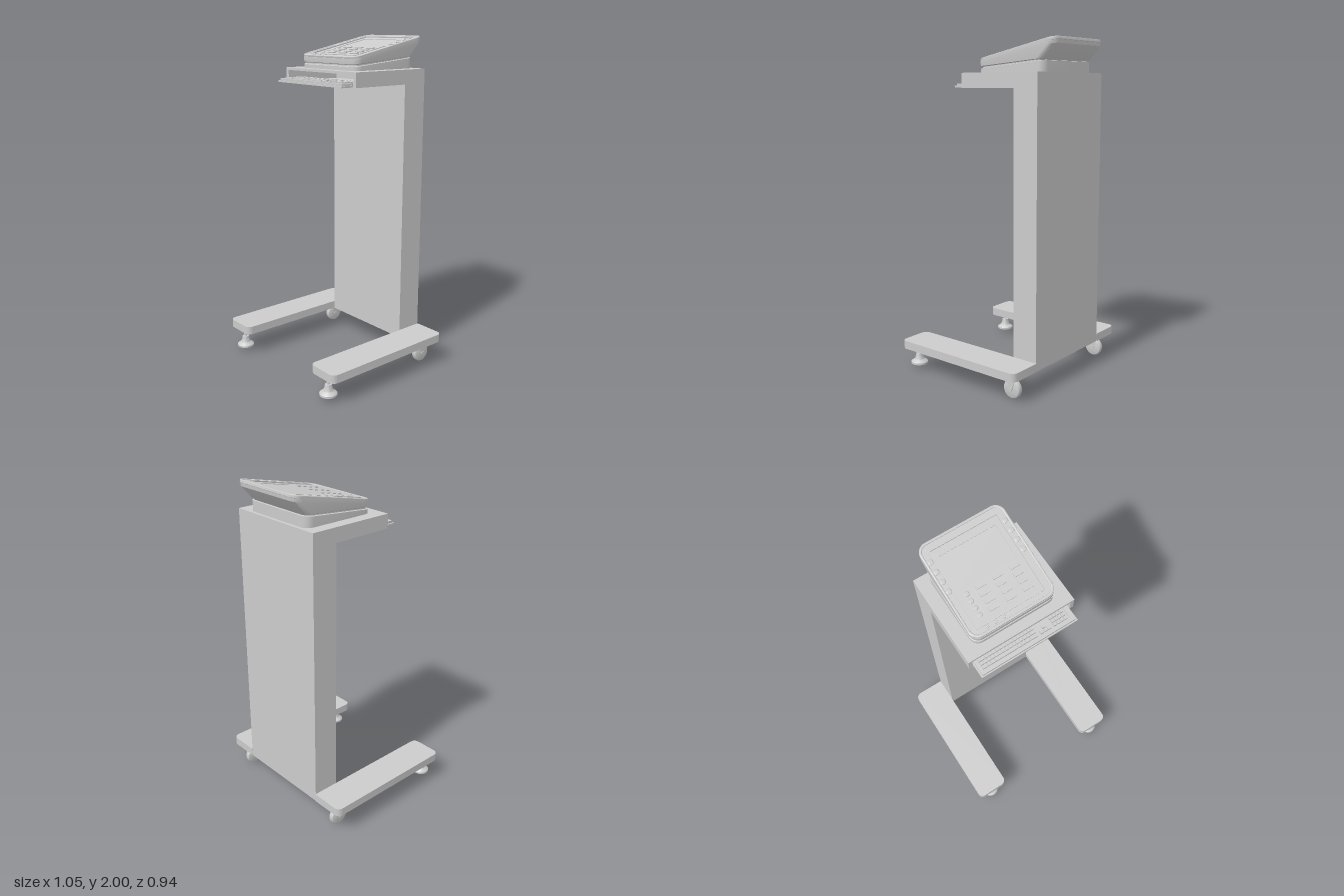
import * as THREE from 'three';
import { mergeGeometries, toCreasedNormals } from 'three/addons/utils/BufferGeometryUtils.js';

const material = new THREE.MeshStandardMaterial({ color: 0xcccccc });

function add(parent, name, geometry, x = 0, y = 0, z = 0) {
  const mesh = new THREE.Mesh(geometry, material);
  mesh.name = name;
  mesh.position.set(x, y, z);
  parent.add(mesh);
  return mesh;
}

// Box given by its limits
function block(parent, name, x0, x1, y0, y1, z0, z1) {
  return add(parent, name, new THREE.BoxGeometry(x1 - x0, y1 - y0, z1 - z0),
    (x0 + x1) / 2, (y0 + y1) / 2, (z0 + z1) / 2);
}

// Outline of a rectangle whose four corners each have their own radius
function roundRect(x0, x1, y0, y1, radii, Type = THREE.Shape) {
  const [a, b, c, d] = radii;
  const s = new Type();
  s.moveTo(x0 + a, y0);
  s.lineTo(x1 - b, y0);
  if (b) s.absarc(x1 - b, y0 + b, b, -Math.PI / 2, 0);
  s.lineTo(x1, y1 - c);
  if (c) s.absarc(x1 - c, y1 - c, c, 0, Math.PI / 2);
  s.lineTo(x0 + d, y1);
  if (d) s.absarc(x0 + d, y1 - d, d, Math.PI / 2, Math.PI);
  s.lineTo(x0, y0 + a);
  if (a) s.absarc(x0 + a, y0 + a, a, Math.PI, Math.PI * 1.5);
  return s;
}

// Extrude an outline (shape y = -z) upwards
function plate(shape, depth, bevel = 0) {
  const g = new THREE.ExtrudeGeometry(shape, {
    depth: depth - bevel, curveSegments: 8, bevelEnabled: bevel > 0,
    bevelSize: bevel, bevelThickness: bevel, bevelOffset: -bevel, bevelSegments: 2
  });
  return toCreasedNormals(g.rotateX(-Math.PI / 2), 0.6);
}

// Skin over sloped rounded-rectangle rings: [halfWidth, zBack, zFront, yBack, yFront, radius]
function loft(rings) {
  const pos = [], idx = [];
  const n = 28;
  for (const [hx, zb, zf, yb, yf, r] of rings) {
    for (let i = 0; i < n; i++) {
      const corner = Math.floor(i / 7), a = (corner + (i % 7) / 6) * Math.PI / 2;
      const x = (corner === 0 || corner === 3 ? 1 : -1) * (hx - r) + r * Math.cos(a);
      const z = (corner < 2 ? zf - r : zb + r) + r * Math.sin(a);
      pos.push(x, yb + (yf - yb) * (z - zb) / (zf - zb), z);
    }
  }
  for (let k = 0; k < rings.length - 1; k++)
    for (let i = 0; i < n; i++) {
      const a = k * n + i, b = k * n + (i + 1) % n;
      idx.push(a, a + n, b, b, a + n, b + n);
    }
  const top = (rings.length - 1) * n;
  for (let i = 1; i < n - 1; i++) idx.push(0, i, i + 1, top, top + i + 1, top + i);
  const g = new THREE.BufferGeometry();
  g.setAttribute('position', new THREE.Float32BufferAttribute(pos, 3));
  g.setIndex(idx);
  return toCreasedNormals(g, 0.5);
}

function lathe(points) {
  const g = new THREE.LatheGeometry(points.map(p => new THREE.Vector2(...p)), 28);
  return toCreasedNormals(g, 0.5);
}

// Swivel caster: wheel, hub, fork plates and stem
function caster() {
  const g = new THREE.Group();
  g.name = 'caster';
  const wheel = lathe([[0, -0.018], [0.045, -0.018], [0.054, -0.014], [0.058, -0.006],
    [0.058, 0.006], [0.054, 0.014], [0.045, 0.018], [0, 0.018]]).rotateZ(Math.PI / 2);
  add(g, 'wheel', wheel, 0, 0.058, 0);
  add(g, 'axle', new THREE.CylinderGeometry(0.01, 0.01, 0.054, 16).rotateZ(Math.PI / 2), 0, 0.058, 0);
  const fork = new THREE.Shape([[-0.032, 0.122], [-0.008, 0.05], [0.008, 0.05], [0.032, 0.122]]
    .map(p => new THREE.Vector2(...p)));
  for (const s of [-1, 1])
    add(g, 'forkPlate', new THREE.ExtrudeGeometry(fork, { depth: 0.004, bevelEnabled: false })
      .rotateY(Math.PI / 2), s * 0.022 - 0.002, 0, 0);
  block(g, 'forkBridge', -0.024, 0.024, 0.118, 0.124, -0.032, 0.032);
  add(g, 'stem', new THREE.CylinderGeometry(0.014, 0.014, 0.02, 16), 0, 0.133, 0);
  return g;
}

// Keyboard on a pull-out tray
function keyboard() {
  const g = new THREE.Group();
  g.name = 'keyboardDrawer';
  block(g, 'tray', -0.293, 0.293, 1.727, 1.737, -0.02, 0.21);
  const rim = roundRect(-0.285, 0.285, -0.203, -0.02, [0.006, 0.006, 0.006, 0.006]);
  rim.holes.push(roundRect(-0.27, 0.262, -0.185, -0.035, [0, 0, 0, 0], THREE.Path));
  add(g, 'keyboardRim', plate(rim, 0.013), 0, 1.737, 0);
  block(g, 'keyboardBed', -0.271, 0.263, 1.737, 1.742, 0.03, 0.19);
  const keys = [];
  const key = (x0, x1, z) => keys.push(new THREE.BoxGeometry(x1 - x0 - 0.004, 0.014, 0.018)
    .translate((x0 + x1) / 2, 1.747, z));
  const rows = [0.168, 0.146, 0.124, 0.102, 0.08, 0.056];
  rows.forEach((z, r) => {
    if (r === 0) {
      [-0.266, -0.236, -0.214, -0.19, -0.054, -0.03, -0.006, 0.024, 0.07]
        .forEach((x, i, a) => i && key(a[i - 1], x, z));
    } else {
      const first = -0.266 + 0.022 + 0.006 * ((5 - r) % 4);
      key(-0.266, first, z);
      for (let i = 0; i < 13; i++) key(first + i * 0.0215, first + (i + 1) * 0.0215, z);
      key(first + 13 * 0.0215, 0.07, z);
    }
    for (let i = 0; i < 3; i++)
      if (r === 0 || r > 2 || (r === 1 && i === 1)) key(0.084 + i * 0.023, 0.107 + i * 0.023, z);
    for (let i = 0; i < 4; i++) key(0.165 + i * 0.022, 0.187 + i * 0.022, z);
  });
  add(g, 'keys', mergeGeometries(keys));
  return g;
}

// Tilted control face: bezel, screen, knobs and keypad
function controlFace() {
  const g = new THREE.Group();
  g.name = 'controlFace';
  const tilt = 0.204, c = Math.cos(tilt), zMid = -0.195;
  g.position.set(0, 1.93, zMid);
  g.rotation.x = tilt;
  const L = z => (z - zMid) / c;
  const rect = (x0, x1, z0, z1, r, T) => roundRect(x0, x1, -L(z1), -L(z0), [r, r, r, r], T);
  const rim = rect(-0.25, 0.25, -0.47, 0.073, 0.055);
  rim.holes.push(rect(-0.236, 0.236, -0.456, 0.058, 0.042, THREE.Path));
  add(g, 'outerRim', plate(rim, 0.014, 0.004), 0, -0.001, 0);
  const bezel = rect(-0.237, 0.237, -0.457, 0.059, 0.042);
  bezel.holes.push(rect(-0.203, 0.203, -0.424, 0.028, 0.004, THREE.Path));
  add(g, 'bezel', plate(bezel, 0.009));
  const lip = rect(-0.206, 0.206, -0.427, 0.031, 0.005);
  lip.holes.push(rect(-0.197, 0.197, -0.418, 0.022, 0.004, THREE.Path));
  add(g, 'innerLip', plate(lip, 0.013));
  const panel = rect(-0.198, 0.198, -0.419, 0.023, 0);
  panel.holes.push(rect(-0.166, 0.166, -0.376, -0.176, 0, THREE.Path));
  add(g, 'keypadPlate', plate(panel, 0.006));
  block(g, 'screen', -0.166, 0.166, -0.004, 0.003, L(-0.376), L(-0.176));
  const knob = (name, x, z, r, y) =>
    add(g, name, lathe([[r, 0], [r, 0.005], [r * 0.75, 0.008], [0, 0.009]]), x, y, L(z));
  for (let i = 0; i < 4; i++) {
    for (const s of [-1, 1]) knob('sideButton', s * 0.221, -0.37 + i * 0.0567, 0.0155, 0.007);
    knob('functionButton', -0.151, -0.146 + i * 0.0405, 0.0135, 0.005);
    for (const x of [-0.069, 0.031, 0.131]) {
      const z = L(-0.15 + i * 0.042);
      block(g, 'keypadKey', x - 0.028, x + 0.028, 0.004, 0.012, z - 0.011, z + 0.011);
    }
  }
  for (const x of [-0.151, -0.102, -0.052]) knob('lowerButton', x, 0.043, 0.009, 0.007);
  return g;
}

export function createModel() {
  const model = new THREE.Group();
  model.name = 'consoleStand';

  // Column and overhanging drawer housing
  block(model, 'column', -0.32, 0.32, 0.14, 1.81, -0.412, -0.25);
  const housing = roundRect(-0.32, 0.32, 1.725, 1.81, [0, 0, 0, 0]);
  housing.holes.push(roundRect(-0.297, 0.297, 1.73, 1.795, [0, 0, 0, 0], THREE.Path));
  add(model, 'drawerHousing', new THREE.ExtrudeGeometry(housing, { depth: 0.38, bevelEnabled: false }), 0, 0, -0.25);
  model.add(keyboard());

  // Floor arms with casters at the back and levelling feet at the front
  for (const s of [-1, 1]) {
    const r = 0.035;
    const arm = s > 0
      ? roundRect(0.32, 0.525, -0.465, 0.415, [r, r, r, 0])
      : roundRect(-0.525, -0.32, -0.465, 0.415, [r, r, 0, r]);
    add(model, 'floorArm', plate(arm, 0.05), 0, 0.14, 0);
    const wheel = caster();
    wheel.position.set(s * 0.425, 0, -0.33);
    model.add(wheel);
    add(model, 'levellingFoot', lathe([[0, 0.02], [0.046, 0.02], [0.052, 0.025], [0.052, 0.036],
      [0.045, 0.042], [0.03, 0.052], [0.023, 0.07], [0.02, 0.09], [0.01, 0.092], [0.01, 0.145]]),
      s * 0.425, 0, 0.418);
  }

  // Console body: sloped plinth, seam and flared shell
  add(model, 'consoleBody', loft([
    [0.247, -0.392, 0.074, 1.808, 1.808, 0.05],
    [0.247, -0.392, 0.074, 1.873, 1.832, 0.05],
    [0.238, -0.384, 0.064, 1.875, 1.835, 0.045],
    [0.238, -0.388, 0.064, 1.88, 1.842, 0.045],
    [0.246, -0.395, 0.074, 1.884, 1.846, 0.05],
    [0.25, -0.465, 0.076, 1.962, 1.862, 0.055],
    [0.25, -0.468, 0.076, 1.986, 1.875, 0.055]
  ]));
  model.add(controlFace());
  return model;
}
